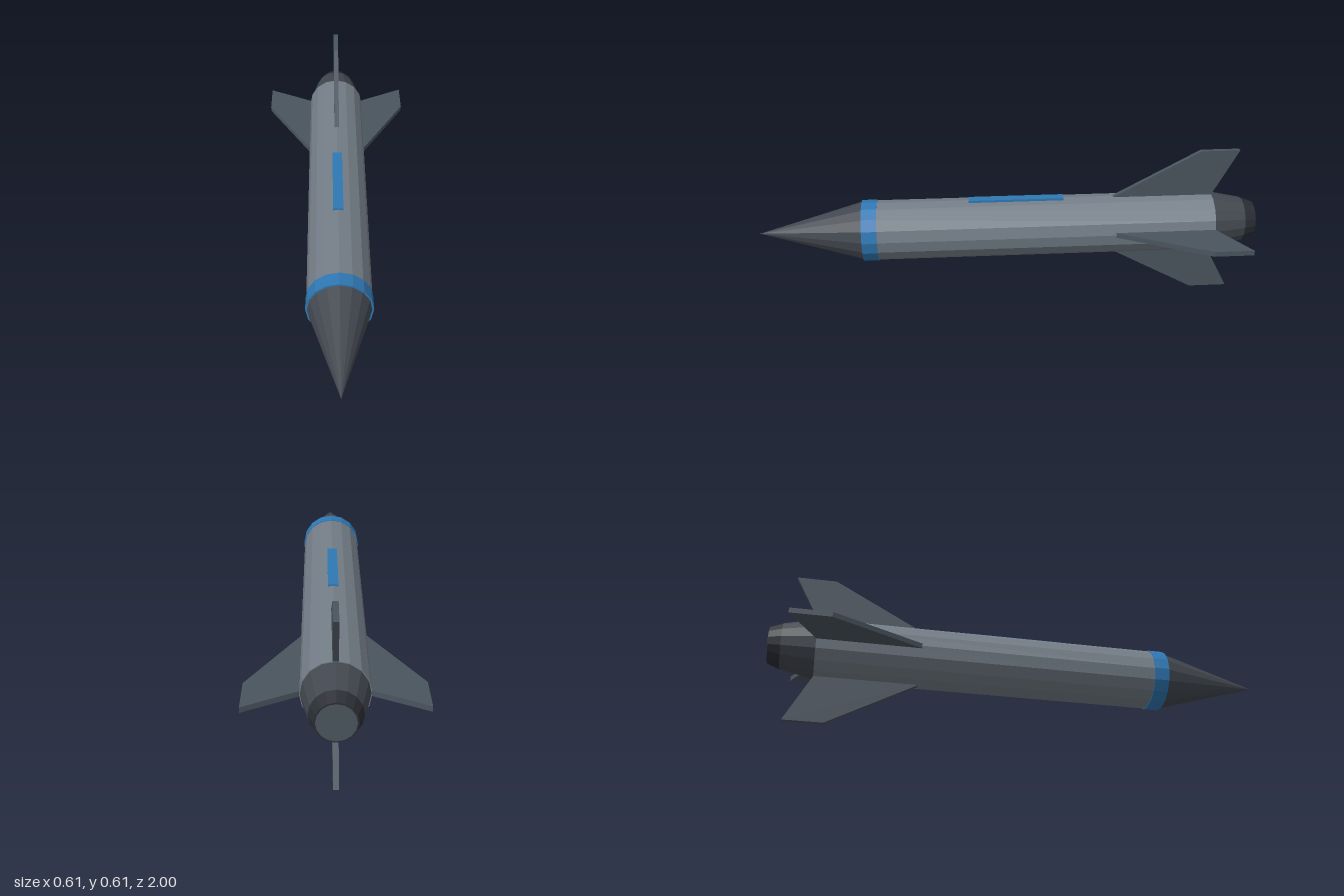
import * as THREE from 'three';

const AXIS_Y = 0.306;
const SIDES = 16;

const paint = (color) => new THREE.MeshStandardMaterial({ color, flatShading: true });

export function createModel() {
  const group = new THREE.Group();
  const bodyGrey = paint(0x747e88);
  const darkGrey = paint(0x434850);
  const finGrey = paint(0x4a545e);
  const nozzleGrey = paint(0x2b2e34);
  const blue = paint(0x2f78b4);

  const add = (name, geometry, material) => {
    const mesh = new THREE.Mesh(geometry, material);
    mesh.name = name;
    group.add(mesh);
    return mesh;
  };

  // A round section along z, from its back end to its front end
  const section = (name, zBack, zFront, rBack, rFront, material) => {
    const geometry = new THREE.CylinderGeometry(rFront, rBack, zFront - zBack, SIDES);
    geometry.rotateX(Math.PI / 2);
    add(name, geometry, material).position.set(0, AXIS_Y, (zBack + zFront) / 2);
  };

  section('noseCone', 0.585, 1, 0.118, 0, darkGrey);
  section('noseBand', 0.53, 0.59, 0.123, 0.123, blue);
  section('body', -0.82, 0.585, 0.12, 0.12, bodyGrey);
  section('tailCone', -0.95, -0.82, 0.09, 0.117, darkGrey);
  section('nozzle', -0.998, -0.95, 0.072, 0.09, nozzleGrey);
  section('nozzleEnd', -1, -0.99, 0.066, 0.066, finGrey);

  // Raised stripe on top of the body
  add('topStripe', new THREE.BoxGeometry(0.04, 0.02, 0.38), blue)
    .position.set(0, AXIS_Y + 0.115, -0.025);

  // Four swept fins: outline in (radius, z), extruded to a thin plate
  const outline = new THREE.Shape([
    [0.1, -0.383], [0.306, -0.765], [0.306, -0.92], [0.1, -0.81],
  ].map(([r, z]) => new THREE.Vector2(r, -z)));
  const finGeometry = new THREE.ExtrudeGeometry(outline, { depth: 0.02, bevelEnabled: false });
  finGeometry.translate(0, 0, -0.01);
  finGeometry.rotateX(-Math.PI / 2);
  ['leftFin', 'topFin', 'rightFin', 'bottomFin'].forEach((name, i) => {
    const fin = add(name, finGeometry, finGrey);
    fin.position.y = AXIS_Y;
    fin.rotation.z = i * Math.PI / 2;
  });

  return group;
}
